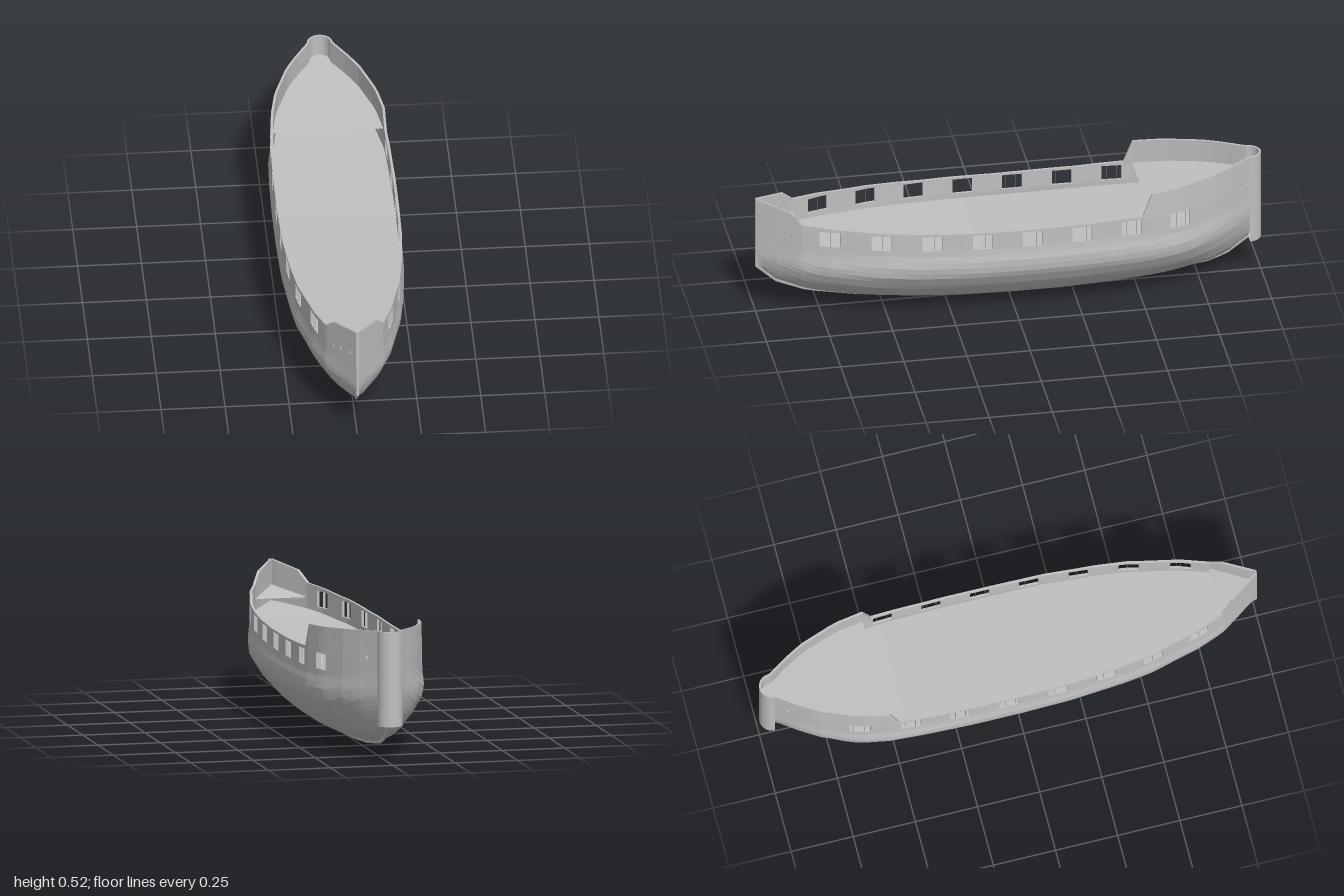
import * as THREE from 'three';

const hullGrey = new THREE.MeshStandardMaterial({ color: 0xc0c0c0, side: THREE.DoubleSide });
hullGrey.name = 'hull grey';

// Piecewise linear lookup in [[z, value], ...], z ascending
function lookup(table, z) {
  if (z <= table[0][0]) return table[0][1];
  for (let i = 1; i < table.length; i++) {
    const [z0, a] = table[i - 1], [z1, b] = table[i];
    if (z <= z1) return a + (b - a) * (z - z0) / (z1 - z0);
  }
  return table[table.length - 1][1];
}

const STERN = -0.95, SKIN = 0.01;
// Hull lines: bottom edge, top edge, greatest half-breadth and its height
const bottom = [[-0.95, 0.155], [-0.93, 0.14], [-0.87, 0.095], [-0.8, 0.066], [-0.6, 0.036], [-0.4, 0.02],
  [-0.2, 0.011], [0, 0.011], [0.2, 0.016], [0.4, 0.028], [0.6, 0.05], [0.8, 0.088], [0.92, 0.138], [1, 0.21]];
const sheer = [[-0.95, 0.525], [-0.7, 0.505], [-0.53, 0.493], [-0.495, 0.403], [-0.3, 0.394], [0, 0.39],
  [0.3, 0.395], [0.6, 0.41], [0.835, 0.427], [0.88, 0.472], [1, 0.5]];
const beam = [[-0.95, 0.052], [-0.87, 0.108], [-0.8, 0.152], [-0.65, 0.212], [-0.53, 0.235], [-0.4, 0.242],
  [-0.2, 0.247], [0, 0.247], [0.2, 0.243], [0.4, 0.226], [0.53, 0.208], [0.6, 0.19], [0.73, 0.158],
  [0.84, 0.116], [0.9, 0.076], [0.95, 0.042], [1, 0.007]];
const bilge = [[-0.95, 0.3], [-0.7, 0.26], [0.7, 0.25], [1, 0.26]];
const section = [[0, 0.02], [0.105, 0.345], [0.244, 0.55], [0.5, 0.79], [0.79, 0.97], [1, 1]];
const topside = [[0, 1], [0.05, 0.965], [0.14, 0.965], [0.25, 0.945]];

function halfBreadth(z, y) {
  const yb = lookup(bottom, z), ym = lookup(bilge, z);
  const f = y < ym ? lookup(section, (y - yb) / (ym - yb)) : lookup(topside, y - ym);
  return lookup(beam, z) * (z > 0.99 ? 1 : f);
}

// Openings as [z, width, low y, high y]: gunports and small slits
const holes = [[-0.905, 0.007, 0.408, 0.422]];
for (let i = 0; i < 8; i++) {
  const z = -0.645 + i * 0.1965, top = 0.382 + 0.037 * (z + 0.055) ** 2;
  holes.push([z, 0.078, top - 0.063, top]);
}
holes.push([0.88, 0.006, 0.359, 0.372], [0.92, 0.006, 0.366, 0.379], [0.967, 0.006, 0.379, 0.392]);
const bandLow = [], bandHigh = [];
for (const [z, w, lo, hi] of holes)
  for (const s of [-1, 1]) { bandLow.push([z + s * w / 2, lo]); bandHigh.push([z + s * w / 2, hi]); }
const inHole = z => holes.some(([c, w]) => Math.abs(z - c) < w / 2);

// Stations along the hull, including every opening edge and break of the top edge
const stations = [...bandLow.map(p => p[0]), ...sheer.map(p => p[0])];
const fixed = [...stations];
for (let z = STERN; z < 1; z += 0.04)
  if (fixed.every(s => Math.abs(s - z) > 0.012)) stations.push(z);
stations.sort((a, b) => a - b);

// Flat shaded mesh from quads
function quadMesh(name, quads) {
  const pos = [];
  for (const [a, b, c, d] of quads) pos.push(...a, ...b, ...c, ...a, ...c, ...d);
  const g = new THREE.BufferGeometry();
  g.setAttribute('position', new THREE.Float32BufferAttribute(pos, 3));
  g.computeVertexNormals();
  const m = new THREE.Mesh(g, hullGrey);
  m.name = name;
  return m;
}

const LOWER = 15;
function heights(z) {
  const yb = lookup(bottom, z), lo = lookup(bandLow, z), ys = [];
  for (let k = 0; k <= LOWER; k++) ys.push(yb + (lo - yb) * (k / LOWER) ** 1.35);
  return [...ys, lookup(bandHigh, z), lookup(sheer, z)];
}

// One side of the hull: outer skin, inner skin, rail and opening edges
function hullSide(s) {
  const quads = [];
  const add = (a, b, c, d) => quads.push(s > 0 ? [a, b, c, d] : [d, c, b, a]);
  const rib = (z, inset) => heights(z).map(y => [s * Math.max(halfBreadth(z, y) - inset, 0.001), y, z]);
  const outer = stations.map(z => rib(z, 0)), inner = stations.map(z => rib(z, SKIN));
  const top = LOWER + 2;
  for (let i = 0; i + 1 < stations.length; i++) {
    const o = outer[i], p = outer[i + 1], n = inner[i], m = inner[i + 1];
    const open = inHole((stations[i] + stations[i + 1]) / 2);
    for (let k = 0; k < top; k++) {
      if (open && k === LOWER) {
        add(o[k], n[k], m[k], p[k]);
        add(o[k + 1], p[k + 1], m[k + 1], n[k + 1]);
        add(o[k], o[k + 1], n[k + 1], n[k]);
        add(p[k], m[k], m[k + 1], p[k + 1]);
        continue;
      }
      add(o[k], o[k + 1], p[k + 1], p[k]);
      add(n[k], m[k], m[k + 1], n[k + 1]);
    }
    add(o[top], n[top], m[top], p[top]);
  }
  return quadMesh(s > 0 ? 'leftHull' : 'rightHull', quads);
}

// Keel strip along the bottom edge and up the flat stem
function keel() {
  const quads = [];
  const ring = z => {
    const y = lookup(bottom, z);
    return [[-0.007, y + 0.008, z], [-0.004, y - 0.011, z], [0.004, y - 0.011, z], [0.007, y + 0.008, z]];
  };
  for (let i = 0; i + 1 < stations.length; i++) {
    const a = ring(stations[i]), b = ring(stations[i + 1]);
    for (let k = 0; k < 3; k++) quads.push([a[k], a[k + 1], b[k + 1], b[k]]);
  }
  quads.push(ring(1), ring(STERN).reverse());
  quads.push([[-0.005, 0.205, 1], [0.005, 0.205, 1], [0.007, 0.5, 1], [-0.007, 0.5, 1]]);
  return quadMesh('keelAndStem', quads);
}

// Deck plate between two stations, height given by a rule
function deck(name, z0, z1, height) {
  const quads = [], n = 32;
  const edge = z => {
    const y = height(z);
    const w = z < STERN ? Math.sqrt(Math.max(0.046 ** 2 - (z - STERN) ** 2, 0))
      : Math.max(halfBreadth(z, y) - 0.005, 0.001);
    return [[-w, y, z], [w, y, z]];
  };
  for (let i = 0; i < n; i++) {
    const [a, b] = edge(z0 + (z1 - z0) * i / n), [c, d] = edge(z0 + (z1 - z0) * (i + 1) / n);
    quads.push([a, c, d, b]);
  }
  return quadMesh(name, quads);
}

// Rounded stern trunk, open towards the deck
function sternTrunk() {
  const g = new THREE.Group();
  g.name = 'sternTrunk';
  const add = (name, geo, y) => {
    const m = new THREE.Mesh(geo, hullGrey);
    m.name = name;
    m.position.set(0, y, STERN);
    g.add(m);
  };
  const y0 = 0.15, y1 = 0.525;
  for (const [name, r] of [['trunkOuter', 0.05], ['trunkInner', 0.042]])
    add(name, new THREE.CylinderGeometry(r, r, y1 - y0, 18, 1, true, Math.PI / 2, Math.PI), (y0 + y1) / 2);
  add('trunkRim', new THREE.RingGeometry(0.042, 0.05, 18, 1, 0, Math.PI).rotateX(-Math.PI / 2), y1);
  add('trunkBase', new THREE.CircleGeometry(0.05, 18, Math.PI, Math.PI).rotateX(Math.PI / 2), y0);
  return g;
}

export function createModel() {
  const ship = new THREE.Group();
  ship.name = 'shipHull';
  ship.add(hullSide(1), hullSide(-1), keel(), sternTrunk());
  ship.add(deck('mainDeck', -0.94, 0.985, z => 0.297 + 0.037 * (z + 0.055) ** 2));
  ship.add(deck('quarterDeck', -0.995, -0.53, z => 0.395 + 0.09 * (-0.53 - z)));
  ship.add(deck('foreDeck', 0.835, 0.995, z => 0.37 + 0.18 * (z - 0.835)));
  return ship;
}
